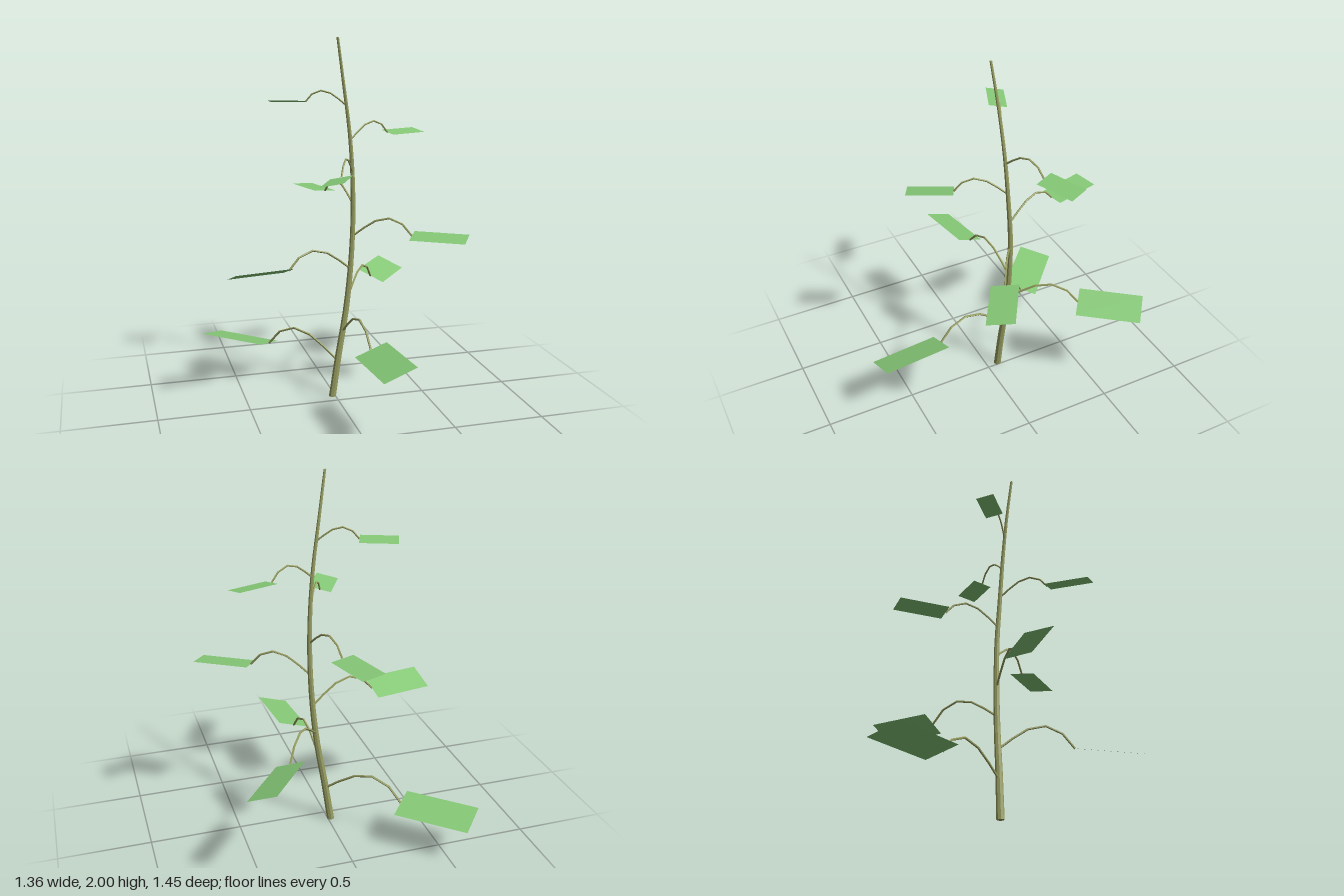
import * as THREE from 'three';

const V = (x, y, z) => new THREE.Vector3(x, y, z);

// Gently bowed stem line, sampled every 0.25 in height
const stemLine = new THREE.CatmullRomCurve3([
  V(-0.016, 0, -0.067), V(0.022, 0.25, -0.071), V(0.065, 0.5, -0.077),
  V(0.092, 0.75, -0.079), V(0.104, 1, -0.077), V(0.098, 1.25, -0.064),
  V(0.077, 1.5, -0.052), V(0.04, 1.75, -0.036), V(0, 2, -0.012),
], false, 'catmullrom', 0.5);
const stemAt = (y) => stemLine.getPoint(THREE.MathUtils.clamp(y / 2, 0, 1));

// Leaf stalk arch: [fraction outward, fraction of rise]
const arch = [[0, 0], [0.17, 0.4], [0.38, 0.82], [0.57, 1], [0.79, 0.86]];

// Leaves: stalk base y, stalk peak y, leaf y, inner x z, outer x z, width, half roll height
const leaves = [
  [0.21, 0.355, 0.235, -0.315, -0.383, -0.615, -0.658, 0.195, 0.02],
  [0.38, 0.527, 0.415, 0.083, 0.338, 0.118, 0.715, 0.178, 0.03],
  [0.57, 0.697, 0.593, 0.308, -0.398, 0.525, -0.675, 0.158, 0.032],
  [0.74, 0.867, 0.77, -0.27, -0.018, -0.59, 0.038, 0.15, 0.03],
  [0.925, 1.038, 0.95, 0.383, 0.103, 0.638, 0.262, 0.145, 0.01],
  [1.105, 1.212, 1.13, 0.023, -0.37, -0.05, -0.633, 0.134, 0.005],
  [1.285, 1.38, 1.303, -0.033, 0.185, -0.145, 0.402, 0.122, 0.013],
  [1.46, 1.552, 1.483, 0.318, -0.14, 0.525, -0.215, 0.108, 0.008],
  [1.645, 1.722, 1.663, -0.145, -0.128, -0.328, -0.203, 0.095, 0.008],
];

function faceted(geometry) {
  const g = geometry.toNonIndexed();
  g.computeVertexNormals();
  return g;
}

// Tapered column shifted sideways onto the stem line
function stemGeometry() {
  const g = new THREE.CylinderGeometry(0.007, 0.021, 2, 8, 24);
  g.translate(0, 1, 0);
  const p = g.attributes.position;
  for (let i = 0; i < p.count; i++) {
    const c = stemAt(p.getY(i));
    p.setX(i, p.getX(i) + c.x);
    p.setZ(i, p.getZ(i) + c.z);
  }
  return faceted(g);
}

// Arched stalk in five straight lengths
function stalkGeometry(start, peak, end, radius) {
  const points = arch.map(([t, h]) => {
    const p = start.clone().lerp(end, t);
    p.y = start.y + (peak - start.y) * h;
    return p;
  });
  points.push(end);
  return faceted(new THREE.TubeGeometry(new THREE.CatmullRomCurve3(points), 5, radius, 5));
}

// Flat rectangular blade rolled about its long axis
function bladeGeometry(inner, outer, width, roll) {
  const d = outer.clone().sub(inner).normalize();
  const side = V(d.z, 0, -d.x).multiplyScalar(width / 2).setY(roll);
  const corners = [
    inner.clone().sub(side), outer.clone().sub(side),
    outer.clone().add(side), inner.clone().add(side),
  ];
  const g = new THREE.BufferGeometry().setFromPoints(corners);
  g.setIndex([0, 1, 2, 0, 2, 3]);
  g.computeVertexNormals();
  return g;
}

export function createModel() {
  const model = new THREE.Group();
  model.name = 'plant';
  const bark = new THREE.MeshStandardMaterial({ color: 0x989e62 });
  bark.name = 'olive stem';
  const green = new THREE.MeshStandardMaterial({ color: 0x86c977, side: THREE.DoubleSide });
  green.name = 'leaf green';

  const add = (parent, geometry, material, name) => {
    const mesh = new THREE.Mesh(geometry, material);
    mesh.name = name;
    parent.add(mesh);
  };

  add(model, stemGeometry(), bark, 'stem');

  // Leaves spiral up the stem, each on its own arched stalk
  leaves.forEach(([base, peak, y, ix, iz, ox, oz, width, roll], i) => {
    const leaf = new THREE.Group();
    leaf.name = `leaf${i + 1}`;
    const inner = V(ix, y, iz);
    const outer = V(ox, y, oz);
    add(leaf, stalkGeometry(stemAt(base), peak, inner, 0.0065 - i * 0.0002), bark, 'leafStalk');
    add(leaf, bladeGeometry(inner, outer, width, roll), green, 'leafBlade');
    model.add(leaf);
  });
  return model;
}
